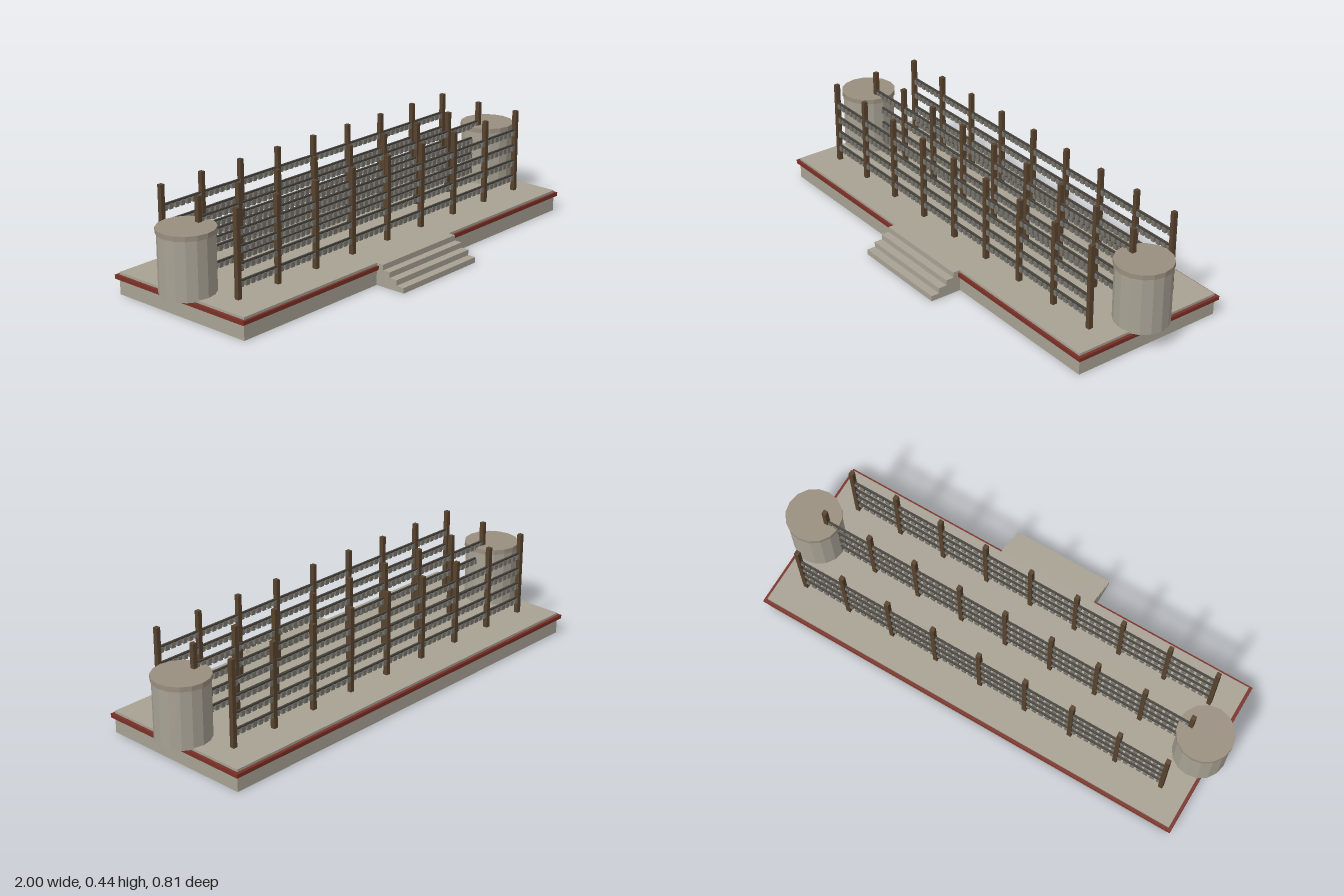
import * as THREE from 'three';
import { mergeGeometries } from 'three/addons/utils/BufferGeometryUtils.js';

const mat = (color) => new THREE.MeshStandardMaterial({ color, flatShading: true });

// Box given by its min and max corners
function box(x0, x1, y0, y1, z0, z1) {
  return new THREE.BoxGeometry(x1 - x0, y1 - y0, z1 - z0)
    .translate((x0 + x1) / 2, (y0 + y1) / 2, (z0 + z1) / 2);
}

// Rectangular ring lying flat, t thick in plan
function frame(x, z0, z1, y0, y1, t) {
  return mergeGeometries([
    box(-x, x, y0, y1, z1 - t, z1),
    box(-x, x, y0, y1, z0, z0 + t),
    box(-x, -x + t, y0, y1, z0 + t, z1 - t),
    box(x - t, x, y0, y1, z0 + t, z1 - t),
  ]);
}

export function createModel() {
  const model = new THREE.Group();
  const stone = mat(0xa8a294);
  const lidStone = mat(0x9a8f80);
  const red = mat(0x7a3026);
  const wood = mat(0x57432e);
  const railMat = mat(0x46423c);
  const tagMat = mat(0x77746d);

  const add = (name, geometry, material, parent = model) => {
    const mesh = new THREE.Mesh(geometry, material);
    mesh.name = name;
    parent.add(mesh);
    return mesh;
  };

  // Hollow plinth: walls below, thin deck on top, red trim around
  add('plinthWalls', frame(0.93, -0.39, 0.27, 0, 0.084, 0.006), stone);
  add('deck', box(-0.93, 0.93, 0.084, 0.09, -0.39, 0.27), stone);
  add('trimBand', frame(0.943, -0.403, 0.28, 0.064, 0.08, 0.02), red);

  // Front steps, each one shorter than the one below
  const steps = new THREE.Group();
  steps.name = 'steps';
  model.add(steps);
  [0.405, 0.37, 0.335, 0.302].forEach((front, i) =>
    add('step', box(-0.218, 0.218, i * 0.0225, (i + 1) * 0.0225, 0.268, front), stone, steps));

  // Round drum with an overhanging lid at each end
  for (const side of [-1, 1]) {
    const drum = new THREE.Group();
    drum.name = side > 0 ? 'leftDrum' : 'rightDrum';
    drum.position.set(side * 0.886, 0, -0.062);
    model.add(drum);
    add('drumBody', new THREE.CylinderGeometry(0.109, 0.109, 0.236, 16).translate(0, 0.202, 0), stone, drum);
    add('drumLid', new THREE.CylinderGeometry(0.114, 0.114, 0.02, 16).translate(0, 0.33, 0), lidStone, drum);
  }

  // Three parallel racks: posts, rails and rows of small hanging blocks
  const bays = 8, end = 0.823, bay = (2 * end) / bays, perBay = 7;
  const railHeights = [0.158, 0.224, 0.291, 0.357];
  const posts = [], rails = [], tags = [];
  for (let i = 0; i <= bays; i++) {
    const x = -end + i * bay;
    posts.push(box(x - 0.009, x + 0.009, 0.083, 0.44, -0.0095, 0.0095));
  }
  for (const y of railHeights) {
    rails.push(box(-end, end, y - 0.004, y + 0.004, -0.004, 0.004));
    for (let b = 0; b < bays; b++) {
      for (let k = 0; k < perBay; k++) {
        const x = -end + b * bay + ((k + 0.5) * bay) / perBay;
        tags.push(box(x - 0.009, x + 0.009, y - 0.024, y - 0.003, -0.007, 0.007));
      }
    }
  }
  const postGeo = mergeGeometries(posts);
  const railGeo = mergeGeometries(rails);
  const tagGeo = mergeGeometries(tags);
  for (const [name, z] of [['frontRack', 0.135], ['middleRack', -0.062], ['backRack', -0.26]]) {
    const rack = new THREE.Group();
    rack.name = name;
    rack.position.z = z;
    model.add(rack);
    add('posts', postGeo, wood, rack);
    add('rails', railGeo, railMat, rack);
    add('hangingBlocks', tagGeo, tagMat, rack);
  }
  return model;
}
